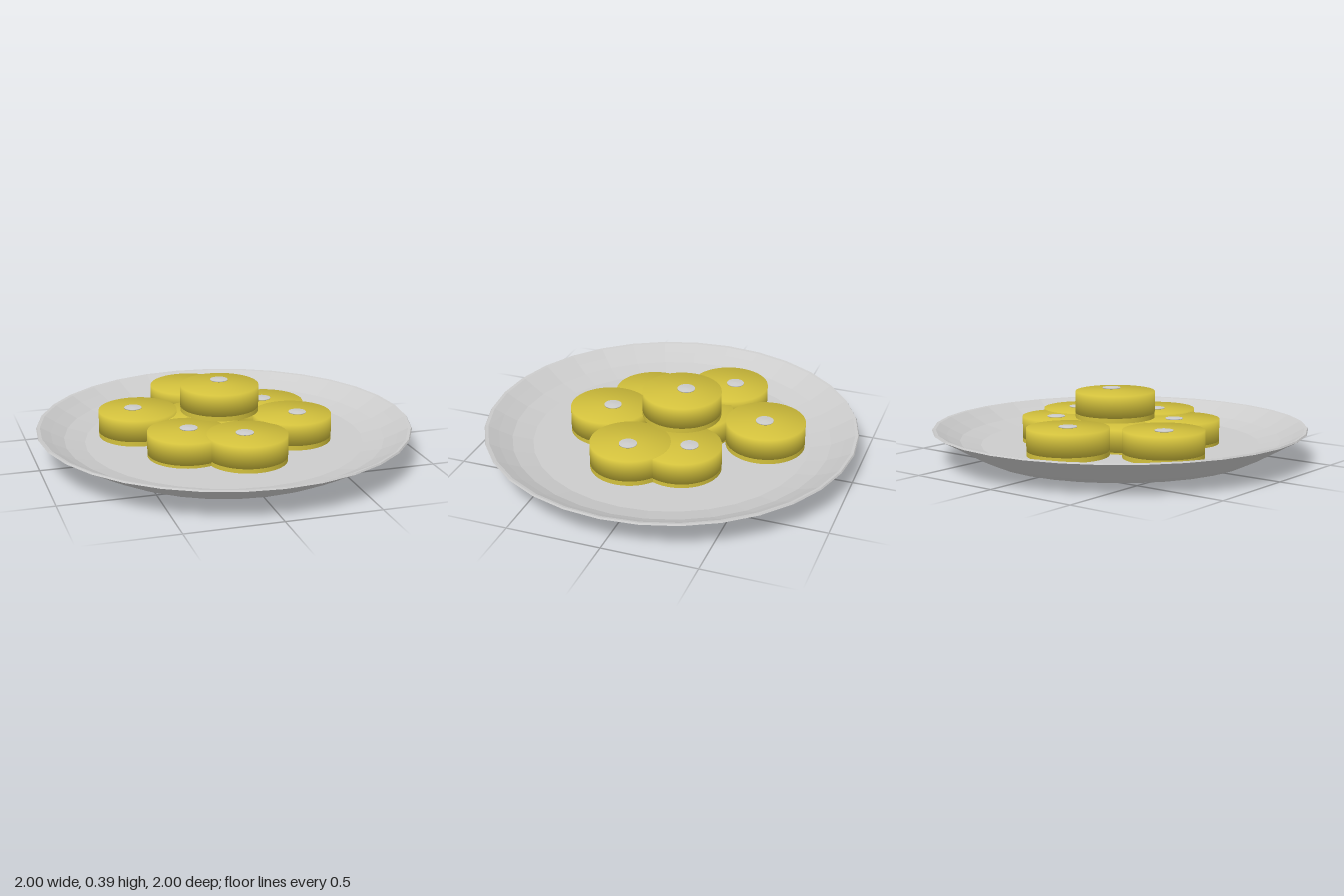
import * as THREE from 'three';

const lathe = (points, segments) =>
  new THREE.LatheGeometry(points.map(([r, y]) => new THREE.Vector2(r, y)), segments);

export function createModel() {
  const model = new THREE.Group();
  const grey = new THREE.MeshStandardMaterial({ color: 0xcccccc });
  const plateMaterial = new THREE.MeshStandardMaterial({ color: 0xcccccc, flatShading: true });
  const yellow = new THREE.MeshStandardMaterial({ color: 0xd2c03c });

  const add = (parent, name, geometry, material, x = 0, y = 0, z = 0) => {
    const mesh = new THREE.Mesh(geometry, material);
    mesh.name = name;
    mesh.position.set(x, y, z);
    parent.add(mesh);
  };

  // Plate: underside, rim, then the inner slope down to the raised floor
  add(model, 'plate', lathe([
    [0, 0], [0.62, 0.004], [0.72, 0.016], [0.78, 0.044], [0.86, 0.088], [0.93, 0.128],
    [1, 0.165], [0.995, 0.173], [0.98, 0.17], [0.925, 0.14], [0.855, 0.106], [0.745, 0.08], [0, 0.08],
  ], 32), plateMaterial);

  // Each biscuit: a thin base, a soft-shaded upper layer and a small pale dot
  const R = 0.21, H = 0.14, BASE = 0.025;
  const baseGeometry = new THREE.CylinderGeometry(R, R, BASE, 48);
  const topGeometry = lathe([[0, BASE], [R, BASE], [R, H], [0, H]], 48);
  const dotGeometry = lathe([[0, -0.005], [0.047, -0.002], [0.047, 0.002], [0, 0.005]], 24);

  const addBiscuit = (name, x, y, z, dot) => {
    const biscuit = new THREE.Group();
    biscuit.name = name;
    biscuit.position.set(x, y, z);
    add(biscuit, 'biscuitBase', baseGeometry, yellow, 0, BASE / 2, 0);
    add(biscuit, 'biscuitTop', topGeometry, yellow);
    if (dot) add(biscuit, 'dot', dotGeometry, grey, dot[0] - x, H + dot[2], dot[1] - z);
    model.add(biscuit);
  };

  // Ring of biscuits on the plate: x, y, z, then dot x, z and lift
  [
    [0.02, 0.078, 0.35, [0.01, 0.335, 0.003]],
    [0.35, 0.08, 0.1, [0.38, 0.1, 0.003]],
    [0.28, 0.076, -0.155, [0.28, -0.2, 0.003]],
    [-0.065, 0.099, -0.505, [-0.06, -0.5, 0.003]],
    [-0.43, 0.083, -0.19, [-0.45, -0.215, 0.003]],
    [-0.255, 0.07, 0.195, [-0.24, 0.16, 0.003]],
    [-0.11, 0.064, -0.09, null],
  ].forEach(([x, y, z, dot], i) => addBiscuit('biscuit' + (i + 1), x, y, z, dot));

  // Biscuit resting on top of the pile
  addBiscuit('topBiscuit', -0.01, 0.226, -0.055, [-0.005, -0.08, 0.019]);

  return model;
}
